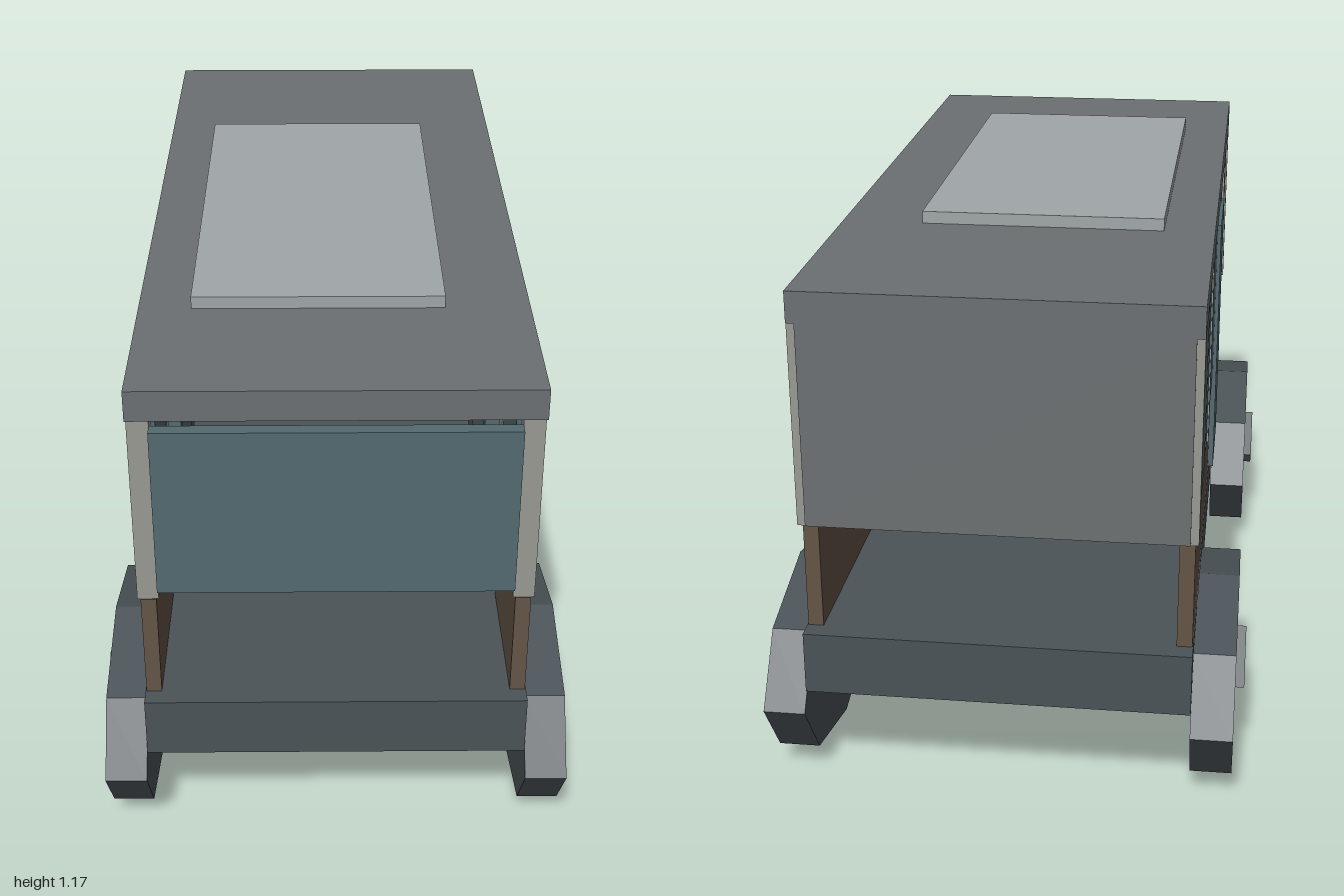
import * as THREE from 'three';

const mat = (color) => new THREE.MeshStandardMaterial({ color, flatShading: true });
const roofGrey = mat(0x6b7072), paleGrey = mat(0xa0a6a8), steel = mat(0x4b5358);
const teal = mat(0x546a70), brown = mat(0x645546), postGrey = mat(0x9a9a93);

export function createModel() {
  const model = new THREE.Group();
  model.name = 'bus';

  // Box given by its limits on each axis
  function box(name, material, [x0, x1], [y0, y1], [z0, z1]) {
    const mesh = new THREE.Mesh(new THREE.BoxGeometry(x1 - x0, y1 - y0, z1 - z0), material);
    mesh.position.set((x0 + x1) / 2, (y0 + y1) / 2, (z0 + z1) / 2);
    mesh.name = name;
    model.add(mesh);
  }

  // The same box on both sides of the body
  function sideBoxes(name, material, [x0, x1], y, z) {
    box(name + 'Left', material, [x0, x1], y, z);
    box(name + 'Right', material, [-x1, -x0], y, z);
  }

  // Faceted disc lying along x, longer in z than in y
  function disc(name, material, sides, [x0, x1], ry, rz, z) {
    const geometry = new THREE.CylinderGeometry(1, 1, x1 - x0, sides);
    geometry.rotateZ(Math.PI / 2).scale(1, ry, rz);
    const mesh = new THREE.Mesh(geometry, material);
    mesh.position.set((x0 + x1) / 2, 0.205, z);
    mesh.name = name;
    model.add(mesh);
  }

  // Chassis and roof
  box('chassis', steel, [-0.41, 0.41], [0.25, 0.388], [-0.98, 0.96]);
  box('roof', roofGrey, [-0.415, 0.415], [1.073, 1.14], [-0.957, 0.943]);
  box('roofPanel', paleGrey, [-0.303, 0.234], [1.14, 1.167], [-0.445, 0.585]);

  // Windscreen and back panel
  box('windscreen', teal, [-0.37, 0.37], [0.665, 1.047], [0.915, 0.945]);
  box('backPanel', roofGrey, [-0.398, 0.398], [0.63, 1.073], [-0.957, -0.94]);

  // Lower side walls, leaving the doorway open
  for (const z of [[0.57, 0.92], [-0.937, 0.287]]) {
    sideBoxes('sideWall', brown, [0.375, 0.408], [0.388, 0.63], z);
  }

  // Roof posts
  for (const z of [[0.875, 0.917], [0.52, 0.567], [0.183, 0.23], [-0.412, -0.365], [-0.954, -0.9]]) {
    sideBoxes('post', postGrey, [0.37, 0.415], [0.63, 1.073], z);
  }

  // Side windows
  for (const z of [[0.625, 0.845], [-0.237, 0.27], [-0.52, -0.305], [-0.81, -0.593]]) {
    sideBoxes('window', teal, [0.365, 0.412], [0.65, 1.038], z);
  }

  // Sliding doors
  sideBoxes('door', teal, [0.366, 0.421], [0.4, 1.038], [-0.027, 0.23]);

  // Axles, wheels and hubs
  for (const z of [0.645, -0.645]) {
    disc('axle', steel, 4, [-0.42, 0.42], 0.034, 0.058, z);
    for (const side of [1, -1]) {
      const span = (a, b) => (side > 0 ? [a, b] : [-b, -a]);
      disc('wheel', steel, 8, span(0.41, 0.5), 0.205, 0.355, z);
      disc('hub', roofGrey, 4, span(0.45, 0.52), 0.079, 0.135, z);
    }
  }

  return model;
}
